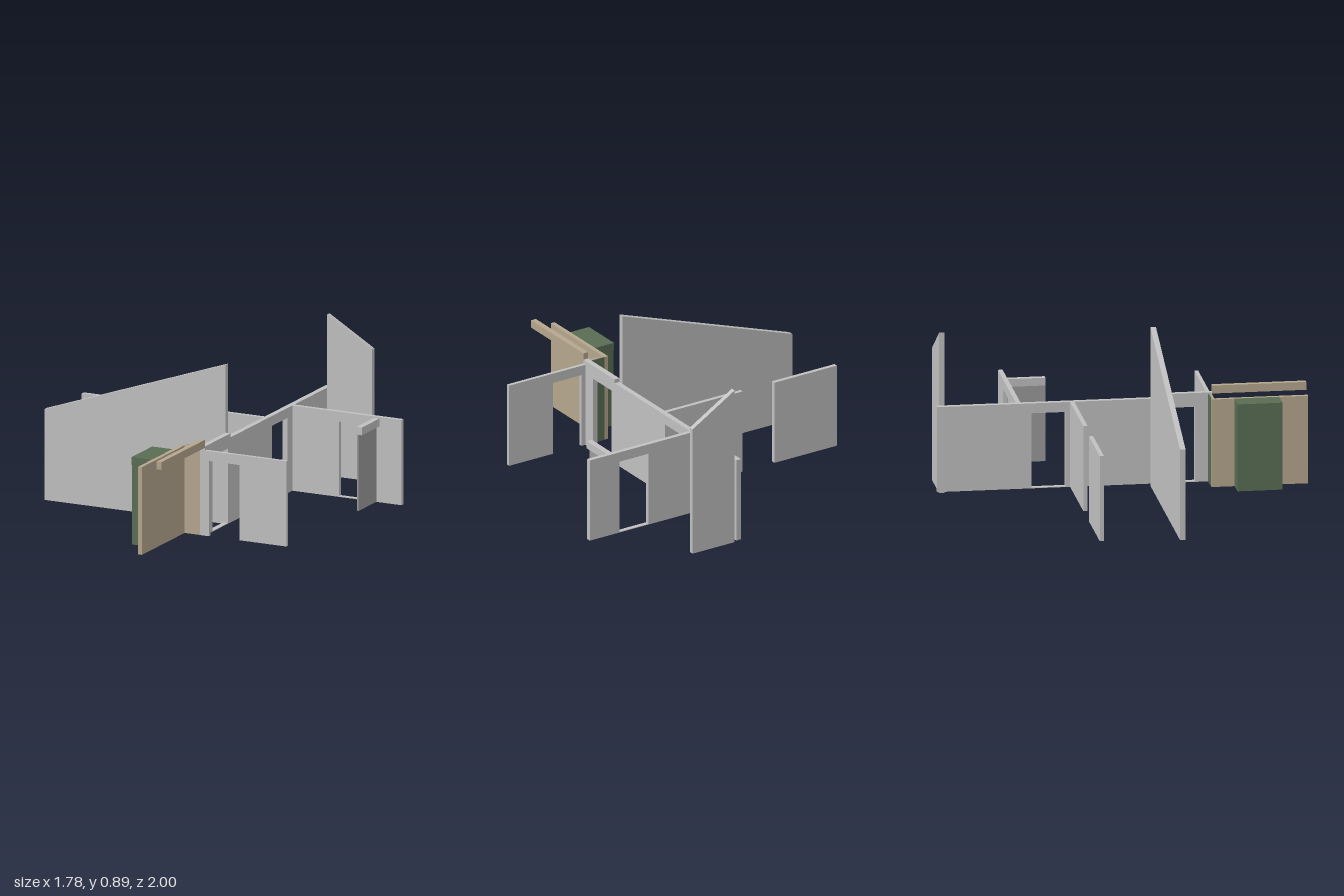
import * as THREE from 'three';

export function createModel() {
  const group = new THREE.Group();
  const mat = (name, color) => {
    const m = new THREE.MeshStandardMaterial({ color });
    m.name = name;
    return m;
  };
  const wallGrey = mat('wallGrey', 0xc0c0c0);
  const doorGrey = mat('doorGrey', 0x9a9a9a);
  const tan = mat('tan', 0xb5a68d);
  const green = mat('green', 0x596d53);

  const add = (name, geometry, material) => {
    const mesh = new THREE.Mesh(geometry, material);
    mesh.name = name;
    group.add(mesh);
  };

  // Box given by its min and max on each axis
  const box = (name, material, x0, x1, y0, y1, z0, z1) => {
    const g = new THREE.BoxGeometry(x1 - x0, y1 - y0, z1 - z0);
    g.translate((x0 + x1) / 2, (y0 + y1) / 2, (z0 + z1) / 2);
    add(name, g, material);
  };

  // Flat wall from an outline; holes are [a0, a1, y0, y1]
  const slab = (outline, depth, holes = []) => {
    const v = (pts) => pts.map(([a, b]) => new THREE.Vector2(a, b));
    const shape = new THREE.Shape(v(outline));
    for (const [a0, a1, b0, b1] of holes)
      shape.holes.push(new THREE.Path(v([[a0, b0], [a0, b1], [a1, b1], [a1, b0]])));
    return new THREE.ExtrudeGeometry(shape, { depth, bevelEnabled: false });
  };
  const wallX = (name, outline, z0, z1, holes) =>
    add(name, slab(outline, z1 - z0, holes).translate(0, 0, z0), wallGrey);
  const wallZ = (name, outline, x0, x1, holes) =>
    add(name, slab(outline, x1 - x0, holes).rotateY(-Math.PI / 2).translate(x1, 0, 0), wallGrey);

  const base = 0.015, top = 0.488, sill = 0.019, head = 0.433;

  // Long central wall with two doorways and a raised front stretch
  wallZ('centralWall',
    [[-1, base], [0.49, base], [0.49, 0.51], [0.185, 0.51], [0.185, top], [-1, top]],
    0.2, 0.23, [[-0.49, -0.305, sill, head], [0.215, 0.397, sill, head]]);

  // Sloping gable walls
  wallX('largeGable', [[-0.89, 0.003], [0.2, 0.003], [0.2, 0.887], [-0.89, 0.507]], 0.155, 0.185);
  wallX('rearGable', [[0.23, 0], [0.5, 0], [0.5, 0.733], [0.23, 0.895]], -0.985, -0.957);

  // Cross wall with a doorway
  wallX('crossWall', [[0.23, base], [0.887, base], [0.887, top], [0.23, top]],
    -0.57, -0.545, [[0.51, 0.695, sill, head]]);

  // Front wall, open to the floor at its doorway
  wallX('frontWall',
    [[0.23, base], [0.255, base], [0.255, head], [0.438, head], [0.438, base],
      [0.72, base], [0.72, top], [0.23, top]], 0.47, 0.49);

  // Two wall pieces with a full-height gap
  box('outerWall', wallGrey, -0.89, -0.49, base, top, -0.28, -0.257);
  box('innerWall', wallGrey, -0.285, 0.2, base, top, -0.28, -0.257);

  // Sliding door and its rail
  box('slidingDoor', doorGrey, 0.726, 0.735, base, 0.437, -0.545, -0.337);
  box('doorRail', wallGrey, 0.722, 0.754, 0.437, 0.48, -0.545, -0.337);

  // Tan screen, its return and the beam
  box('screenWall', tan, 0.085, 0.108, base, 0.502, 0.47, 0.993);
  box('screenReturn', tan, 0.108, 0.2, base, 0.502, 0.474, 0.488);
  box('returnBacking', green, 0.108, 0.2, base, 0.502, 0.468, 0.474);
  box('beam', tan, 0.2, 0.23, 0.503, 0.547, 0.49, 1);

  // Green cabinet with a slightly wider cap
  box('cabinet', green, -0.03, 0.085, base + 0.003, 0.46, 0.593, 0.837);
  box('cabinetCap', green, -0.034, 0.085, 0.46, 0.503, 0.593, 0.837);

  return group;
}
